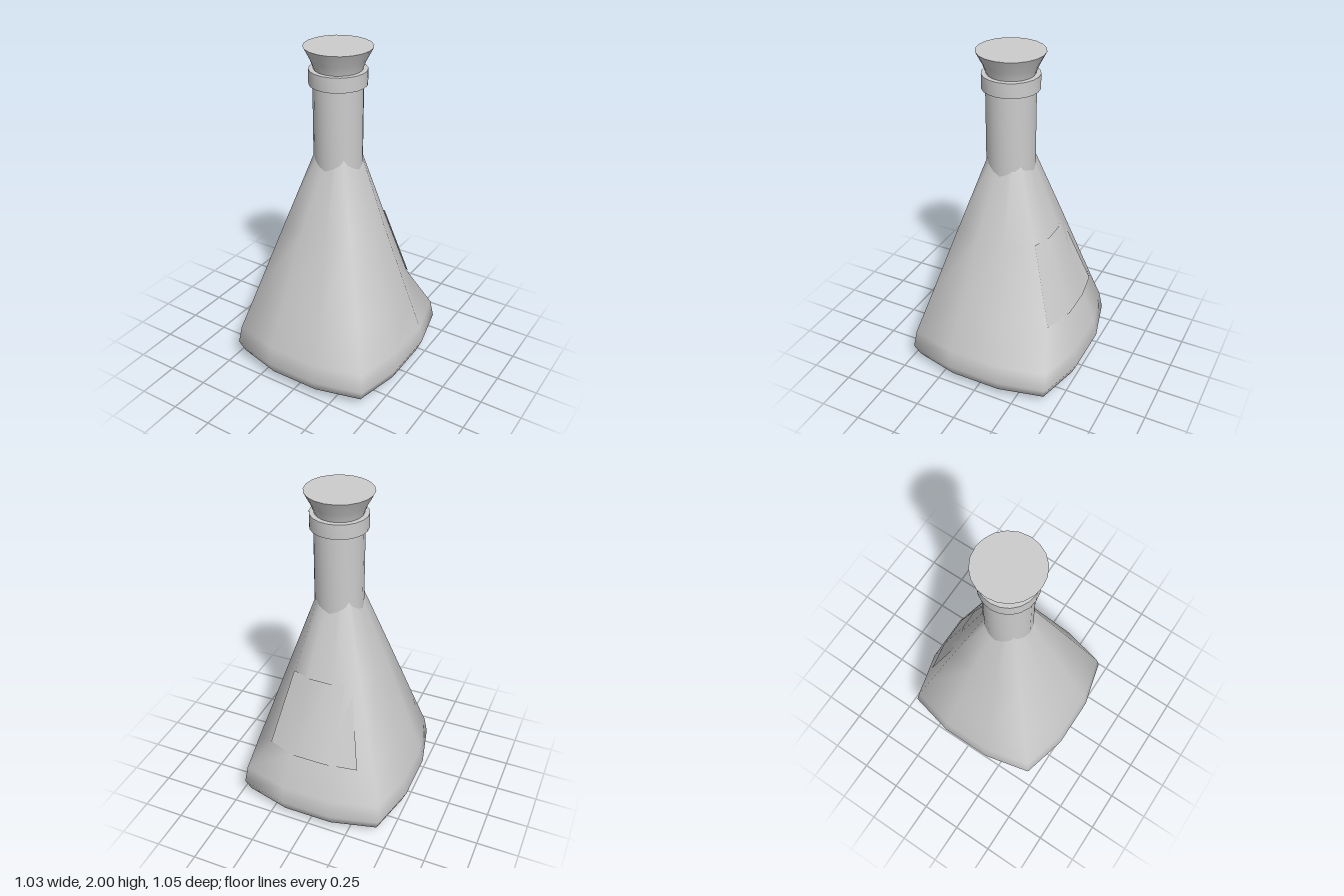
import * as THREE from 'three';
import { toCreasedNormals } from 'three/addons/utils/BufferGeometryUtils.js';

// Smooth surface through cross-sections, each an array of [x, y, z]
function loft(rings, closed) {
  const n = rings[0].length;
  const index = [];
  for (let j = 0; j < rings.length - 1; j++) {
    for (let i = 0; i < (closed ? n : n - 1); i++) {
      const k = (i + 1) % n;
      const a = j * n + i, b = a + n, c = j * n + k, d = c + n;
      index.push(a, b, c, c, b, d);
    }
  }
  const geometry = new THREE.BufferGeometry();
  geometry.setAttribute('position', new THREE.Float32BufferAttribute(rings.flat(2), 3));
  geometry.setIndex(index);
  geometry.computeVertexNormals();
  return geometry;
}

// Turned part from [radius, height] points, with sharp edges kept
function turned(points) {
  const profile = points.map(([r, y]) => new THREE.Vector2(r, y));
  return toCreasedNormals(new THREE.LatheGeometry(profile, 20), 0.7);
}

export function createModel() {
  const group = new THREE.Group();
  const glass = new THREE.MeshStandardMaterial({ color: 0xcccccc, side: THREE.DoubleSide });
  glass.name = 'pale grey';

  const add = (name, geometry) => {
    const mesh = new THREE.Mesh(geometry, glass);
    mesh.name = name;
    group.add(mesh);
  };

  // Twelve-sided soft square, going from +x towards +z
  const quarter = [[1, 0.31], [0.87, 0.86], [0.31, 1]];
  const outline = [
    ...quarter,
    ...quarter.map(([x, z]) => [-x, z]).reverse(),
    ...quarter.map(([x, z]) => [-x, -z]),
    ...quarter.map(([x, z]) => [x, -z]).reverse(),
  ];

  // Flask body: [height, half width], open underneath, tip hidden in the neck
  const levels = [
    [0, 0.28], [0.018, 0.4], [0.065, 0.485], [0.14, 0.516], [0.25, 0.497],
    [0.47, 0.422], [0.94, 0.265], [1.5, 0.075],
  ];
  const rings = levels.map(([y, w]) => outline.map(([x, z]) => [x * w, y, z * w * 1.018]));
  // Back left corner is flattened beside the label
  rings[5][10] = [0.281, 0.47, -0.373];
  rings[6][10] = [0.176, 0.94, -0.235];
  add('flaskBody', loft(rings, true));

  // Label plate on the back
  add('backLabel', loft([
    [[-0.285, 0.47, -0.41], [-0.1, 0.47, -0.44], [0.1, 0.47, -0.44], [0.285, 0.47, -0.38]],
    [[-0.18, 0.94, -0.242], [-0.065, 0.94, -0.28], [0.065, 0.94, -0.28], [0.18, 0.94, -0.242]],
  ], false));

  // Neck, collar and flared stopper
  add('neck', turned([[0.141, 1.28], [0.141, 1.82]]));
  add('collar', turned([[0.13, 1.79], [0.163, 1.79], [0.163, 1.875], [0.13, 1.875], [0.13, 1.79]]));
  add('stopper', turned([[0, 1.78], [0.115, 1.78], [0.133, 1.87], [0.153, 1.925], [0.192, 2], [0, 2]]));

  return group;
}
